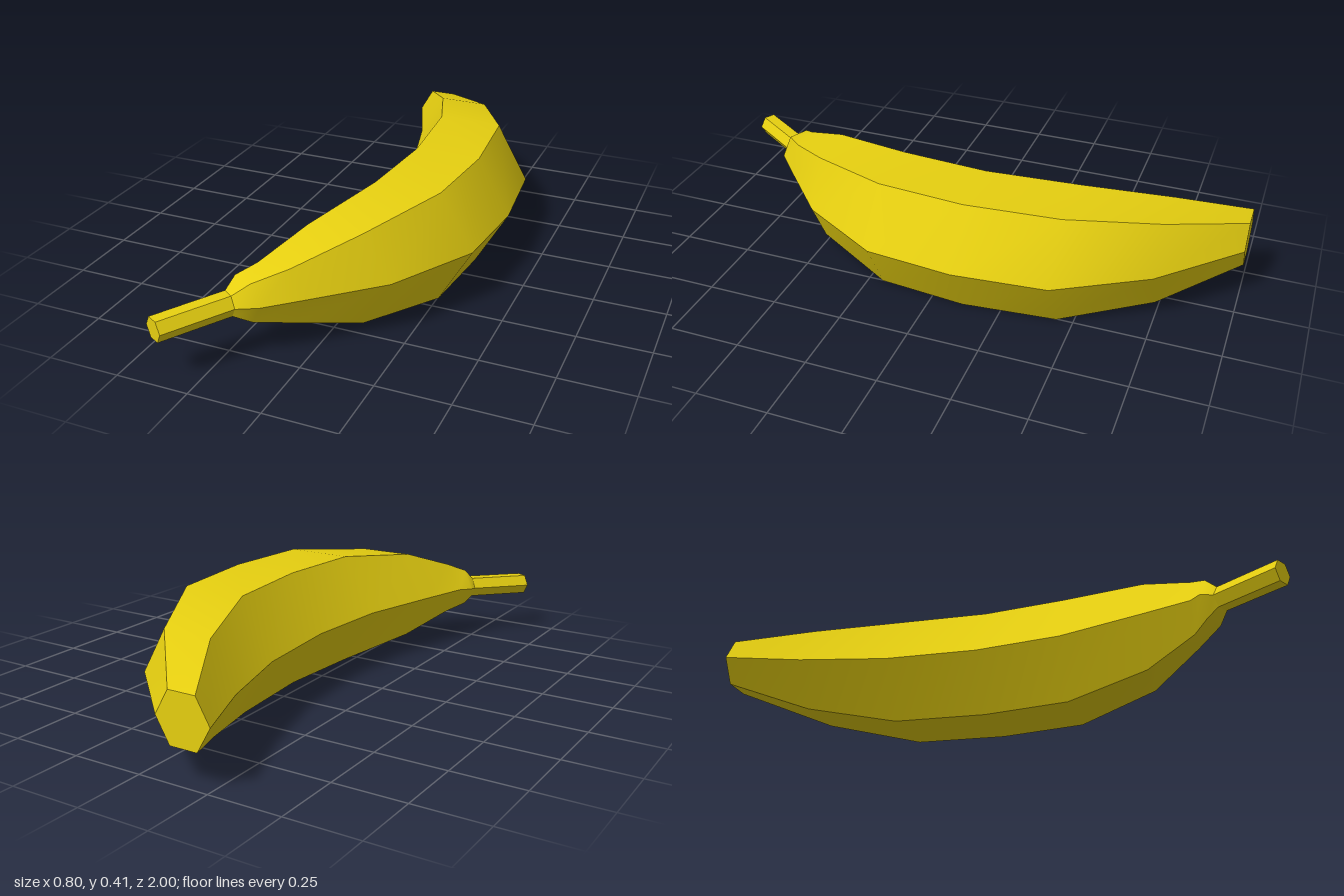
import * as THREE from 'three';

const SIDES = 6;

// Cross-sections: [centre x, centre y, centre z, radius, half-width direction angle]
const bodyRings = [
  [-0.17, 0.203, -1.0, 0.098, 0],
  [0.01, 0.203, -0.747, 0.182, 0.03],
  [0.139, 0.203, -0.445, 0.232, 0.02],
  [0.167, 0.203, -0.115, 0.234, 0],
  [0.139, 0.203, 0.198, 0.232, -0.01],
  [0.012, 0.203, 0.497, 0.188, -0.03],
  [-0.114, 0.203, 0.675, 0.112, 0],
  [-0.187, 0.203, 0.743, 0.079, 0.43],
  [-0.222, 0.196, 0.776, 0.042, 0.6],
];
const stemRings = [
  [-0.222, 0.196, 0.776, 0.042, 0.6],
  [-0.295, 0.19, 0.878, 0.042, 0.57],
  [-0.365, 0.184, 0.976, 0.042, 0.5],
];

// Corner k of a hexagonal cross-section
function corner([x, y, z, r, turn], k) {
  const a = (k / SIDES) * Math.PI * 2;
  const w = r * Math.cos(a);
  return [x + w * Math.cos(turn), y + r * Math.sin(a), z + w * Math.sin(turn)];
}

// Loft with ridges kept sharp along the length, smooth from ring to ring
function loft(rings, capStart, capEnd) {
  const pos = [];
  const index = [];
  for (let k = 0; k < SIDES; k++) {
    const base = pos.length / 3;
    rings.forEach((ring) => pos.push(...corner(ring, k), ...corner(ring, k + 1)));
    for (let i = 0; i < rings.length - 1; i++) {
      const a = base + i * 2;
      index.push(a, a + 1, a + 2, a + 1, a + 3, a + 2);
    }
  }
  const cap = (ring, flip) => {
    const base = pos.length / 3;
    for (let k = 0; k < SIDES; k++) pos.push(...corner(ring, k));
    for (let k = 1; k < SIDES - 1; k++) {
      if (flip) index.push(base, base + k + 1, base + k);
      else index.push(base, base + k, base + k + 1);
    }
  };
  if (capStart) cap(rings[0], true);
  if (capEnd) cap(rings[rings.length - 1], false);

  const geometry = new THREE.BufferGeometry();
  geometry.setAttribute('position', new THREE.Float32BufferAttribute(pos, 3));
  geometry.setIndex(index);
  geometry.computeVertexNormals();
  return geometry;
}

export function createModel() {
  const group = new THREE.Group();
  group.name = 'banana';
  const peel = new THREE.MeshStandardMaterial({ color: 0xe6cf10 });

  // Curved fruit with a blunt tip and a collar at the stem
  const body = new THREE.Mesh(loft(bodyRings, true, false), peel);
  body.name = 'body';

  // Thin stem
  const stem = new THREE.Mesh(loft(stemRings, false, true), peel);
  stem.name = 'stem';

  group.add(body, stem);
  return group;
}
